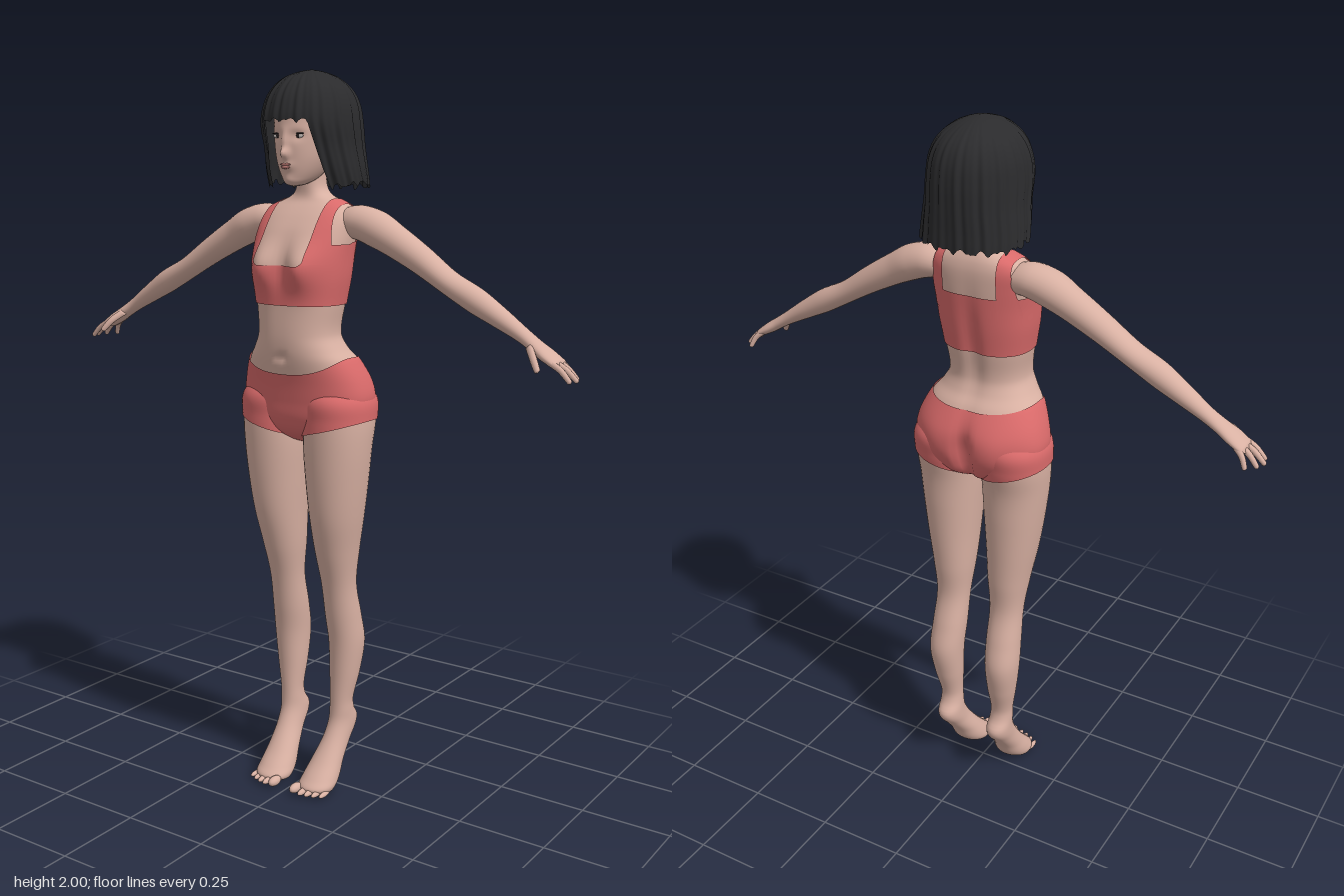
import * as THREE from 'three';

const mat = (color, side = THREE.FrontSide) => new THREE.MeshStandardMaterial({ color, side, roughness: 0.8 });
const SKIN = mat(0xd8b0a2);
const CLOTH = mat(0xd96a6a, THREE.DoubleSide);
const HAIR = mat(0x2b2b2d, THREE.DoubleSide);
const LIPS = mat(0xb97872);
const DARK = mat(0x2a2323);
const WHITE = mat(0xd8cfca);

const bell = (d, s) => Math.exp(-((d / s) ** 2));
const step = THREE.MathUtils.smoothstep;
const spow = (v, e) => Math.sign(v) * Math.abs(v) ** e;

// Grid of points from fn(u, v); closed wraps around in u
function grid(nu, nv, fn, closed = true) {
  const pos = [], idx = [], cols = closed ? nu : nu + 1;
  for (let j = 0; j <= nv; j++)
    for (let i = 0; i < cols; i++) pos.push(...fn(i / nu, j / nv));
  for (let j = 0; j < nv; j++)
    for (let i = 0; i < nu; i++) {
      const k = (i + 1) % cols;
      const a = j * cols + i, b = j * cols + k, c = a + cols, d = b + cols;
      idx.push(a, b, d, a, d, c);
    }
  const g = new THREE.BufferGeometry();
  g.setAttribute('position', new THREE.Float32BufferAttribute(pos, 3));
  g.setIndex(idx);
  g.computeVertexNormals();
  return g;
}

// Smooth interpolation of rows [y, centreX, halfWidth, zBack, zFront]
function rowAt(rows, y) {
  const n = rows.length - 1;
  let i = 0;
  while (i < n - 1 && y > rows[i + 1][0]) i++;
  const h = rows[i + 1][0] - rows[i][0];
  const t = THREE.MathUtils.clamp((y - rows[i][0]) / h, 0, 1);
  const slope = (k, c) => {
    const p = rows[Math.max(0, k - 1)], q = rows[Math.min(n, k + 1)];
    return (q[c] - p[c]) / (q[0] - p[0]);
  };
  return [1, 2, 3, 4].map(c => (2 * t ** 3 - 3 * t * t + 1) * rows[i][c] + (3 * t * t - 2 * t ** 3) * rows[i + 1][c]
    + h * ((t ** 3 - 2 * t * t + t) * slope(i, c) + (t ** 3 - t * t) * slope(i + 1, c)));
}

// Surface of stacked rounded sections; angle 0 faces the front, PI / 2 faces +x
const surface = (rows, e = 1, bump = () => 0) => (a, y, off = 0) => {
  const [cx, rx, zb, zf] = rowAt(rows, y);
  const x = cx + (Math.max(0, rx) + off) * spow(Math.sin(a), e);
  const z = (zb + zf) / 2 + (Math.max(0, (zf - zb) / 2) + off) * spow(Math.cos(a), e);
  return [x, y, z + bump(x, y, Math.cos(a))];
};
const patch = (s, lo, hi, off, nu, nv, ease = v => v) => grid(nu, nv, (u, v) => {
  const a = u * Math.PI * 2, l = lo(a);
  return s(a, l + (hi(a) - l) * ease(v), off);
});

// Limb along rows [x, y, z, radius, radiusZ]
function sweep(rows, nu = 24, nv = 60) {
  const curve = new THREE.CatmullRomCurve3(rows.map(r => new THREE.Vector3(r[0], r[1], r[2])));
  const radii = new THREE.CatmullRomCurve3(rows.map(r => new THREE.Vector3(r[3], r[4], 0)));
  return grid(nu, nv, (u, v) => {
    const p = curve.getPoint(v), d = curve.getTangent(v), r = radii.getPoint(v);
    const l = Math.hypot(d.x, d.y), a = u * Math.PI * 2, c = Math.cos(a) * Math.max(0, r.x);
    return [p.x - d.y / l * c, p.y + d.x / l * c, p.z + Math.sin(a) * Math.max(0, r.y)];
  });
}

function mirrored(geo) {
  const g = geo.clone().scale(-1, 1, 1), ix = g.index.array;
  for (let i = 0; i < ix.length; i += 3) [ix[i], ix[i + 1]] = [ix[i + 1], ix[i]];
  g.computeVertexNormals();
  return g;
}

const TORSO = [
  [1.0, 0, 0, 0, 0.01], [1.015, 0, 0.05, -0.04, 0.05], [1.04, 0, 0.12, -0.085, 0.085], [1.08, 0, 0.17, -0.108, 0.103],
  [1.13, 0, 0.19, -0.115, 0.11], [1.18, 0, 0.182, -0.112, 0.118], [1.24, 0, 0.155, -0.085, 0.132],
  [1.27, 0, 0.132, -0.063, 0.137], [1.31, 0, 0.113, -0.05, 0.139], [1.39, 0, 0.121, -0.06, 0.136],
  [1.46, 0, 0.132, -0.07, 0.135], [1.52, 0, 0.137, -0.076, 0.127], [1.58, 0, 0.142, -0.08, 0.1],
  [1.62, 0, 0.14, -0.08, 0.072], [1.645, 0, 0.12, -0.075, 0.05], [1.66, 0, 0.09, -0.068, 0.036],
  [1.675, 0, 0.055, -0.06, 0.03], [1.7, 0, 0.038, -0.055, 0.03], [1.76, 0, 0.036, -0.05, 0.035]];
const LEG = [
  [0, 0.075, 0.01, 0.06, 0.08], [0.004, 0.075, 0.04, 0.04, 0.1], [0.018, 0.075, 0.052, 0.015, 0.122],
  [0.04, 0.076, 0.051, -0.005, 0.105], [0.08, 0.078, 0.044, -0.027, 0.068], [0.13, 0.082, 0.037, -0.065, 0.03],
  [0.165, 0.084, 0.036, -0.094, 0.01], [0.19, 0.085, 0.035, -0.098, 0.001], [0.215, 0.086, 0.033, -0.08, -0.002],
  [0.25, 0.087, 0.032, -0.073, -0.003], [0.33, 0.091, 0.042, -0.093, -0.002], [0.42, 0.094, 0.049, -0.108, 0.003],
  [0.5, 0.091, 0.05, -0.092, 0.015], [0.6, 0.089, 0.049, -0.068, 0.032], [0.7, 0.09, 0.06, -0.074, 0.06],
  [0.8, 0.095, 0.072, -0.08, 0.085], [0.9, 0.098, 0.083, -0.085, 0.098], [1.0, 0.1, 0.092, -0.09, 0.105],
  [1.08, 0.102, 0.094, -0.106, 0.107], [1.14, 0.1, 0.088, -0.108, 0.105], [1.2, 0.09, 0.04, -0.05, 0.05]];
const HEAD = [
  [1.698, 0, 0, 0.06, 0.07], [1.703, 0, 0.02, 0.03, 0.09], [1.722, 0, 0.042, -0.02, 0.099], [1.76, 0, 0.063, -0.06, 0.106],
  [1.8, 0, 0.074, -0.09, 0.11], [1.85, 0, 0.079, -0.11, 0.112], [1.92, 0, 0.075, -0.1, 0.092], [1.97, 0, 0, -0.01, 0]];
const HAIRDO = [
  [1.66, 0, 0.138, -0.15, 0.05], [1.69, 0, 0.143, -0.155, 0.06], [1.74, 0, 0.14, -0.156, 0.085],
  [1.8, 0, 0.132, -0.158, 0.108], [1.86, 0, 0.129, -0.158, 0.13], [1.91, 0, 0.121, -0.15, 0.123],
  [1.95, 0, 0.101, -0.128, 0.102], [1.98, 0, 0.066, -0.088, 0.066], [1.994, 0, 0.03, -0.05, 0.025], [2, 0, 0, -0.012, -0.012]];
const ARM = [
  [0.085, 1.6, -0.015, 0, 0], [0.095, 1.6, -0.015, 0.034, 0.04], [0.15, 1.605, -0.015, 0.046, 0.052],
  [0.2, 1.592, -0.013, 0.048, 0.053], [0.26, 1.562, -0.012, 0.043, 0.046], [0.34, 1.517, -0.01, 0.037, 0.042],
  [0.43, 1.461, -0.006, 0.031, 0.039], [0.5, 1.424, -0.005, 0.033, 0.037], [0.57, 1.384, -0.006, 0.027, 0.031],
  [0.64, 1.342, -0.006, 0.019, 0.025], [0.675, 1.32, -0.003, 0.017, 0.029], [0.71, 1.298, -0.001, 0.016, 0.037],
  [0.738, 1.281, -0.002, 0.012, 0.037], [0.75, 1.274, -0.003, 0, 0.02]];

export function createModel() {
  const model = new THREE.Group();
  const add = (name, geo, material) => {
    const m = new THREE.Mesh(geo, material);
    m.name = name;
    model.add(m);
    return m;
  };
  const pair = (name, geo, material) => {
    add('left' + name, geo, material);
    add('right' + name, mirrored(geo), material);
  };
  const ball = (x, y, z, rx, ry, rz) => new THREE.SphereGeometry(1, 16, 12).scale(rx, ry, rz).translate(x, y, z);

  // Torso and neck
  const E = 0.85;
  const torso = surface(TORSO, E, (x, y, c) => {
    const ax = Math.abs(x);
    if (c > 0) return c ** 0.5 * (0.03 * bell(ax - 0.07, 0.045) * bell(y - 1.49, 0.055)
      - 0.008 * bell(x, 0.025) * bell(y - 1.5, 0.06) - 0.012 * bell(x, 0.011) * bell(y - 1.25, 0.012));
    return (-c) ** 0.5 * (0.032 * bell(x, 0.02) * bell(y - 1.1, 0.075) + 0.012 * bell(x, 0.025) * bell(y - 1.4, 0.14)
      - 0.012 * bell(ax - 0.085, 0.06) * bell(y - 1.13, 0.06));
  });
  add('torso', patch(torso, () => 1.0, () => 1.76, 0, 72, 110), SKIN);

  // Cropped top with shoulder straps
  add('top', patch(torso, () => 1.39,
    a => Math.cos(a) > 0 ? 1.495 + 0.055 * step(Math.abs(Math.sin(a)), 0.4, 0.75) : 1.555, 0.004, 96, 24), CLOTH);
  const strap = grid(8, 60, (u, v) => {
    const flare = 0.018 * Math.cos(Math.PI * v) ** 4;
    const x = 0.078 + u * (0.034 + flare);
    let lo = 1.6, hi = 1.7;
    for (let k = 0; k < 20; k++) {
      const m = (lo + hi) / 2;
      if (rowAt(TORSO, m)[1] + 0.005 > x) lo = m; else hi = m;
    }
    const y = 1.5 + (lo - 1.5) * Math.sin(Math.PI * v);
    const a = Math.asin(Math.min(1, x / (rowAt(TORSO, y)[1] + 0.005)) ** (1 / E));
    return torso(v < 0.5 ? a : Math.PI - a, y, 0.005);
  }, false);
  pair('Strap', strap, CLOTH);

  // Shorts: hip part and two short legs
  add('shorts', patch(torso, () => 1.0,
    a => 1.25 - Math.cos(a) ** 2 * (Math.cos(a) > 0 ? 0.045 : 0.015), 0.004, 96, 40), CLOTH);
  const leg = surface(LEG, 0.95);
  pair('ShortsLeg', patch(leg, a => 1.052 + 0.028 * Math.sin(a), () => 1.165, 0.004, 48, 14), CLOTH);

  // Legs on raised heels, with toes
  pair('Leg', patch(leg, () => 0, () => 1.2, 0, 36, 110, v => v ** 1.5), SKIN);
  for (let i = 0; i < 5; i++) {
    const r = i ? 0.0095 - i * 0.0005 : 0.014;
    const x = i ? 0.042 + i * 0.0195 : 0.037;
    pair('Toe' + (i + 1), ball(x, r + 0.003, 0.122 - i * i * 0.0014, r, r, 0.025), SKIN);
  }

  // Arms, fingers and thumbs
  pair('Arm', sweep(ARM, 28, 90), SKIN);
  const digit = (name, a, m, b, r) => {
    const end = b.map((v, i) => v + (b[i] - m[i]) * 0.12);
    pair(name, sweep([[...a, 0, 0], [...a.map((v, i) => v + (m[i] - v) * 0.1), r, r], [...m, r * 0.95, r * 0.95],
      [...b, r * 0.75, r * 0.75], [...end, 0, 0]], 10, 18), SKIN);
  };
  [[0.026, 0.03, 0.783], [0.008, 0.004, 0.79], [-0.011, -0.022, 0.78], [-0.028, -0.045, 0.757]].forEach(([z0, z1, x], i) =>
    digit('Finger' + (i + 1), [0.722, 1.289, z0], [(x + 0.73) / 2, 1.27, (z0 + z1) / 2], [x, 1.243, z1], 0.0085));
  digit('Thumb', [0.665, 1.322, 0.016], [0.69, 1.298, 0.044], [0.712, 1.268, 0.062], 0.0105);

  // Head with nose, eye sockets, lips and chin
  const head = surface(HEAD, 0.95, (x, y, c) => c <= 0 ? 0 : c * (
    0.02 * bell(x, 0.011) * bell(y - 1.782, 0.013) + 0.01 * bell(x, 0.01) * bell(y - 1.81, 0.025)
    - 0.008 * bell(Math.abs(x) - 0.033, 0.018) * bell(y - 1.828, 0.014)
    + 0.006 * bell(x, 0.02) * bell(y - 1.752, 0.012) + 0.004 * bell(x, 0.018) * bell(y - 1.715, 0.012)));
  add('head', patch(head, () => 1.698, () => 1.97, 0, 96, 90, v => (1 - Math.cos(Math.PI * v)) / 2), SKIN);
  const faceZ = (x, y) => {
    const a = Math.asin((x / rowAt(HEAD, y)[1]) ** (1 / 0.95));
    return head(a, y)[2];
  };
  const ez = faceZ(0.033, 1.829);
  pair('Eye', ball(0.033, 1.828, ez - 0.001, 0.015, 0.006, 0.004), WHITE);
  pair('Iris', ball(0.032, 1.828, ez + 0.001, 0.006, 0.006, 0.003), DARK);
  pair('Eyelid', ball(0.034, 1.834, ez, 0.017, 0.0022, 0.005), DARK);
  const lipZ = faceZ(0, 1.752);
  add('upperLip', ball(0, 1.755, lipZ - 0.002, 0.017, 0.0035, 0.004), LIPS);
  add('lowerLip', ball(0, 1.748, lipZ - 0.002, 0.014, 0.0042, 0.005), LIPS);

  // Bobbed hair with fringe and ragged tips
  const cut = surface(HAIRDO, 0.98);
  const tips = a => {
    const d = Math.min(a, Math.PI * 2 - a);
    const jag = Math.abs(Math.sin(a * 9)) * 0.012 + Math.abs(Math.sin(a * 15.5 + 1)) * 0.008;
    return 1.858 - 0.175 * step(d, 0.54, 0.72) + jag * (d < 0.6 ? 0.7 : 1) + 0.012 * bell(d - 1.5, 0.5);
  };
  add('hair', grid(200, 44, (u, v) => {
    const a = u * Math.PI * 2, lo = tips(a), k = Math.sin(v * Math.PI / 2);
    const strands = (0.0022 * Math.sin(a * 22) + 0.0016 * Math.sin(a * 37 + 1)) * (1 - k ** 4);
    return cut(a, lo + (2 - lo) * k, strands);
  }), HAIR);

  return model;
}
